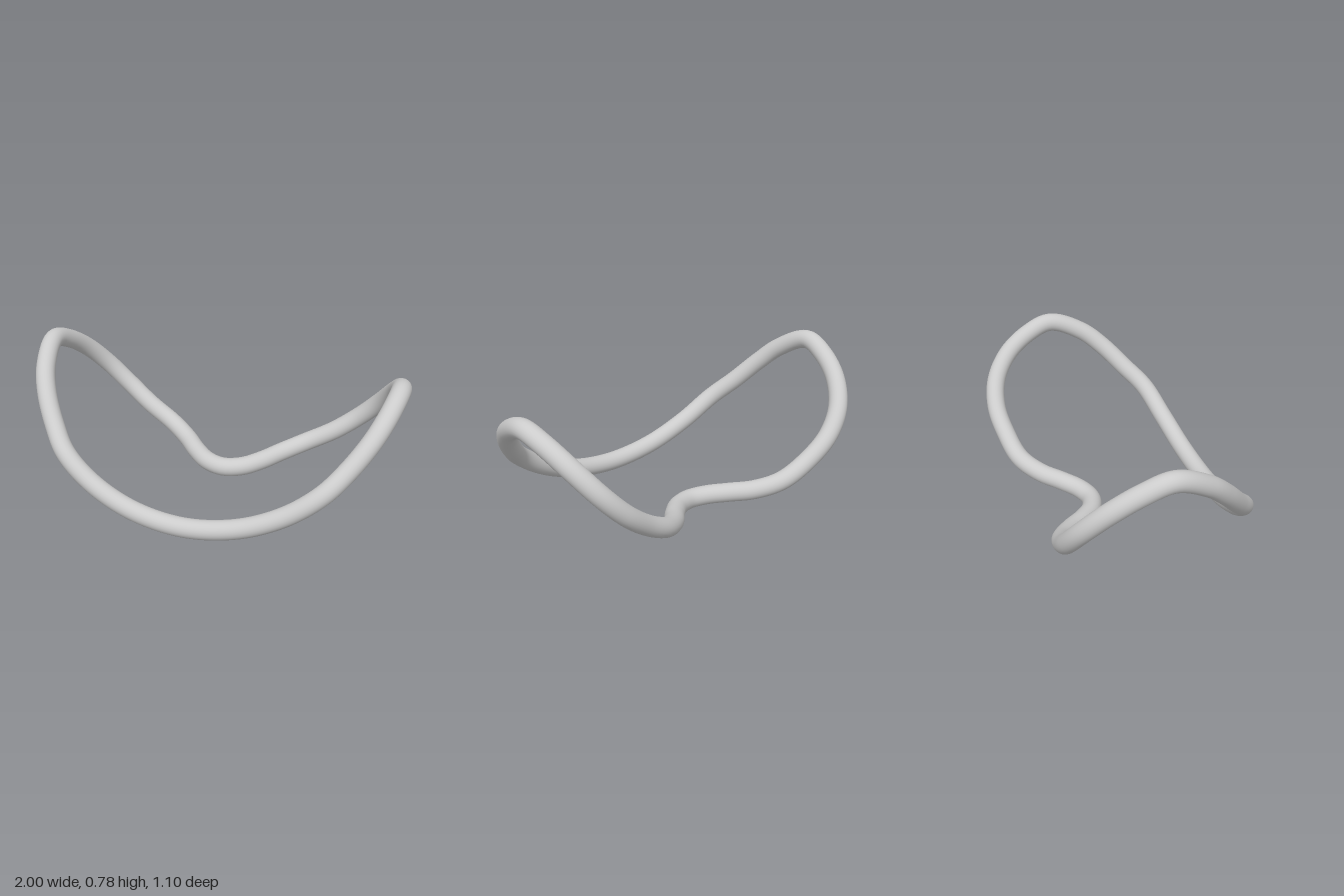
import * as THREE from 'three';

// Plan outline (x, z) of one half, from the front middle round to the notch at the back
const half = [
  [0, 0.495], [0.27, 0.483], [0.5, 0.452], [0.67, 0.4], [0.77, 0.31], [0.86, 0.2],
  [0.912, 0.09], [0.945, -0.09], [0.927, -0.23], [0.88, -0.37], [0.8, -0.465], [0.69, -0.499],
  [0.55, -0.483], [0.4, -0.447], [0.28, -0.365], [0.19, -0.27], [0.1, -0.195], [0, -0.165],
];

// The loop lies on a curved trough; the left side rises a little less than the right
function troughHeight(x) {
  const r = x > 0 ? 1.027 : 1.004;
  return 0.054 + r - Math.sqrt(r * r - x * x);
}

export function createModel() {
  const group = new THREE.Group();

  // Mirror the half outline into a closed loop and lift it onto the trough
  const mirrored = half.slice(1, -1).reverse().map(([x, z]) => [-x * 1.004, z]);
  const points = [...half, ...mirrored].map(([x, z]) => new THREE.Vector3(x, troughHeight(x), z));
  const path = new THREE.CatmullRomCurve3(points, true, 'centripetal');

  // Round bar swept along the closed loop
  const loop = new THREE.Mesh(
    new THREE.TubeGeometry(path, 240, 0.051, 24, true),
    new THREE.MeshStandardMaterial({ color: 0xcccccc })
  );
  loop.name = 'bentLoop';
  group.add(loop);
  return group;
}
